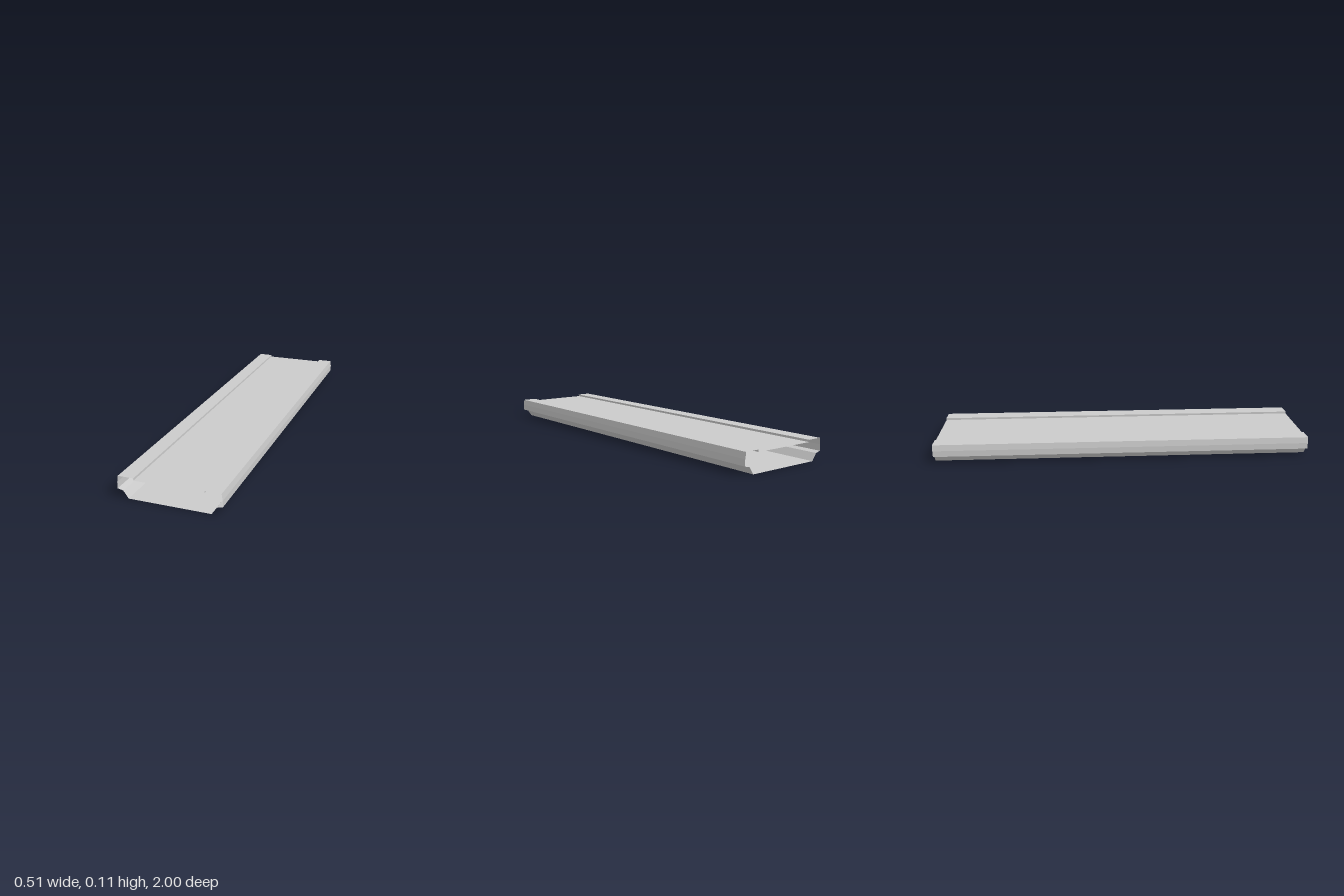
import * as THREE from 'three';

const HALF_LENGTH = 1;

// Sweeps an open section [x, y] along z, with hard edges between the faces.
// Sections run counter-clockwise seen from the front, so normals face outwards.
function sheet(name, section, material) {
  const positions = [];
  for (let i = 0; i < section.length - 1; i++) {
    const [ax, ay] = section[i];
    const [bx, by] = section[i + 1];
    const a0 = [ax, ay, -HALF_LENGTH], a1 = [ax, ay, HALF_LENGTH];
    const b0 = [bx, by, -HALF_LENGTH], b1 = [bx, by, HALF_LENGTH];
    positions.push(...a0, ...b1, ...a1, ...a0, ...b0, ...b1);
  }
  const geometry = new THREE.BufferGeometry();
  geometry.setAttribute('position', new THREE.Float32BufferAttribute(positions, 3));
  geometry.computeVertexNormals();
  const mesh = new THREE.Mesh(geometry, material);
  mesh.name = name;
  return mesh;
}

const mirror = (section) => section.map(([x, y]) => [-x, y]).reverse();

export function createModel() {
  const material = new THREE.MeshStandardMaterial({
    color: 0xcccccc, flatShading: true, side: THREE.DoubleSide,
  });
  const group = new THREE.Group();
  group.name = 'hollowSlat';

  // Half sections, from the floor up to the recessed panel
  const wall = [[0.202, 0], [0.227, 0.036], [0.255, 0.043], [0.255, 0.075], [0.25, 0.107]];
  const lip = [[0.25, 0.107], [0.172, 0.107], [0.172, 0.096]];

  group.add(
    sheet('floor', [[-0.202, 0], [0.202, 0]], material),
    sheet('leftWall', wall, material),
    sheet('leftLip', lip, material),
    sheet('topPanel', [[0.172, 0.096], [-0.172, 0.096]], material),
    sheet('rightLip', mirror(lip), material),
    sheet('rightWall', mirror(wall), material),
  );
  return group;
}
